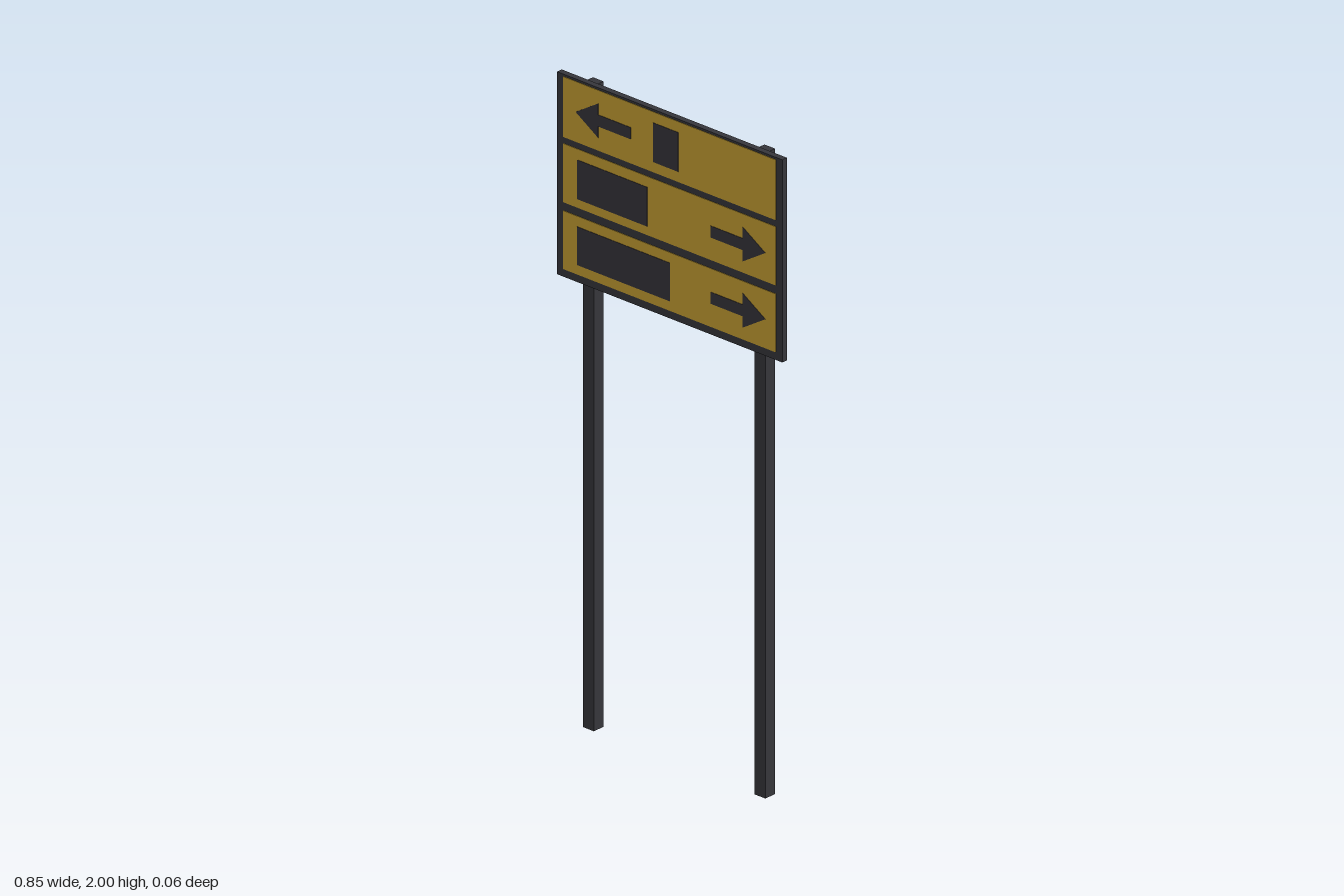
import * as THREE from 'three';

export function createModel() {
  const model = new THREE.Group();
  const frameGrey = new THREE.MeshStandardMaterial({ color: 0x36363b });
  frameGrey.name = 'frame grey';
  const panelYellow = new THREE.MeshStandardMaterial({ color: 0xc9a233 });
  panelYellow.name = 'panel yellow';
  const symbolGrey = new THREE.MeshStandardMaterial({ color: 0x37343b });
  symbolGrey.name = 'symbol grey';

  // Box given by its limits on each axis
  function box(name, material, [x0, x1], [y0, y1], [z0, z1]) {
    const mesh = new THREE.Mesh(new THREE.BoxGeometry(x1 - x0, y1 - y0, z1 - z0), material);
    mesh.position.set((x0 + x1) / 2, (y0 + y1) / 2, (z0 + z1) / 2);
    mesh.name = name;
    model.add(mesh);
  }

  // Thin arrow plate from tail to tip, pointing either way along x
  function arrow(name, tail, tip, y, z) {
    const dir = Math.sign(tip - tail);
    const neck = tip - dir * 0.085;
    const points = [
      [tail, -0.018], [neck, -0.018], [neck, -0.053], [tip, 0],
      [neck, 0.053], [neck, 0.018], [tail, 0.018],
    ].map(([px, py]) => new THREE.Vector2(px, py));
    const geometry = new THREE.ExtrudeGeometry(new THREE.Shape(points), { depth: 0.0015, bevelEnabled: false });
    const mesh = new THREE.Mesh(geometry, symbolGrey);
    mesh.position.set(0, y, z);
    mesh.name = name;
    model.add(mesh);
  }

  // Two square posts behind the board
  for (const [side, x] of [['right', -0.323], ['left', 0.323]]) {
    box(side + 'Post', frameGrey, [x - 0.02, x + 0.02], [0, 1.988], [-0.031, 0.009]);
  }

  // Backing board, whose edge shows as the frame
  box('board', frameGrey, [-0.424, 0.424], [1.376, 2], [0.009, 0.028]);

  // Three direction panels with a block and an arrow each
  const rows = [
    { name: 'top', y: [1.807, 1.993], block: [-0.061, 0.034], blockY: [1.839, 1.96], arrow: [-0.145, -0.352], mid: 1.9 },
    { name: 'middle', y: [1.606, 1.787], block: [-0.346, -0.082], blockY: [1.633, 1.754], arrow: [0.156, 0.362], mid: 1.694 },
    { name: 'bottom', y: [1.4, 1.58], block: [-0.346, 0.003], blockY: [1.43, 1.548], arrow: [0.156, 0.362], mid: 1.49 },
  ];
  for (const row of rows) {
    box(row.name + 'Panel', panelYellow, [-0.4, 0.4], row.y, [0.0275, 0.0295]);
    box(row.name + 'Block', symbolGrey, row.block, row.blockY, [0.0293, 0.0308]);
    arrow(row.name + 'Arrow', row.arrow[0], row.arrow[1], row.mid, 0.0293);
  }
  return model;
}
